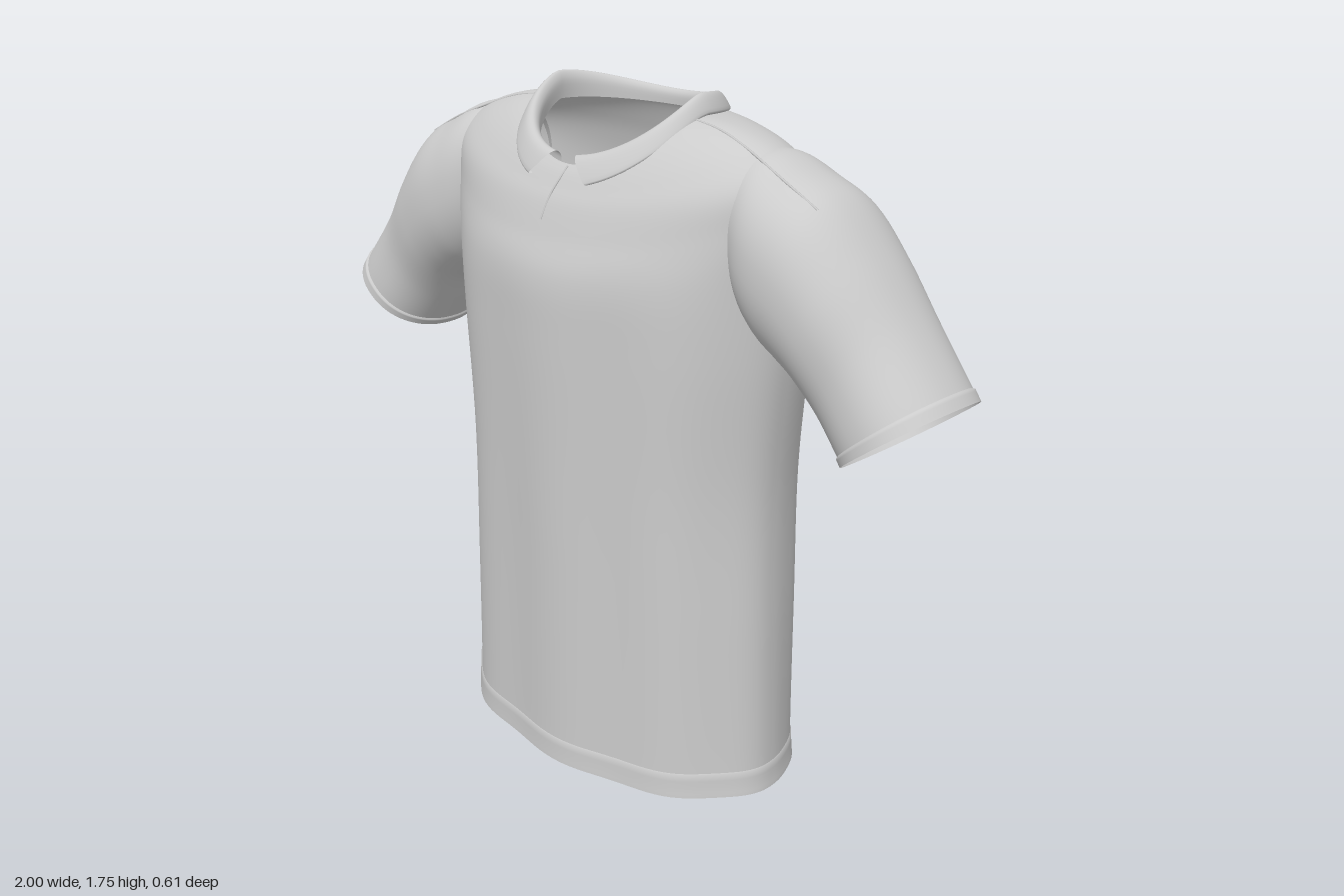
import * as THREE from 'three';

const TAU = Math.PI * 2;
const cloth = new THREE.MeshStandardMaterial({ color: 0xcccccc, roughness: 0.9, side: THREE.DoubleSide });
const lerp = THREE.MathUtils.lerp;
const pw = (v, n) => Math.sign(v) * Math.abs(v) ** (2 / n);

// Smooth interpolation between rows of cross-section parameters
function sample(rows, s) {
  const last = rows.length - 1;
  const i = Math.min(Math.floor(s), last - 1), f = s - i;
  const r = k => rows[THREE.MathUtils.clamp(k, 0, last)];
  return rows[i].map((b, c) => {
    const a = r(i - 1)[c], d = r(i + 1)[c], e = r(i + 2)[c];
    const m0 = (d - a) / 2, m1 = (e - b) / 2;
    return b + f * (m0 + f * (3 * (d - b) - 2 * m0 - m1 + f * (2 * (b - d) + m0 + m1)));
  });
}

// Surface from a function of (u, v); closed surfaces share their first and last column
function surface(name, fn, nu, nv, closed, flip) {
  const pos = [], idx = [], cols = closed ? nu : nu + 1;
  for (let j = 0; j <= nv; j++)
    for (let i = 0; i < cols; i++) pos.push(...fn(i / nu, j / nv));
  for (let j = 0; j < nv; j++)
    for (let i = 0; i < nu; i++) {
      const a = j * cols + i, b = j * cols + (i + 1) % cols, c = a + cols, d = b + cols;
      if (flip) idx.push(a, b, c, b, d, c);
      else idx.push(a, c, b, b, c, d);
    }
  const g = new THREE.BufferGeometry();
  g.setAttribute('position', new THREE.Float32BufferAttribute(pos, 3));
  g.setIndex(idx);
  g.computeVertexNormals();
  const mesh = new THREE.Mesh(g, cloth);
  mesh.name = name;
  return mesh;
}

function seam(name, points, radius = 0.003) {
  const curve = new THREE.CatmullRomCurve3(points.map(p => new THREE.Vector3(...p)));
  const mesh = new THREE.Mesh(new THREE.TubeGeometry(curve, 40, radius, 6), cloth);
  mesh.name = name;
  return mesh;
}

// Torso rings: half width, side y, front z, front y, back z, back y, squareness of the back
const TORSO = [
  [0.525, 0.01, 0.293, 0.00, -0.28, 0.02, 2.3],
  [0.518, 0.10, 0.292, 0.09, -0.28, 0.11, 2.3],
  [0.508, 0.45, 0.295, 0.45, -0.29, 0.45, 2.3],
  [0.500, 0.82, 0.300, 0.82, -0.30, 0.82, 2.3],
  [0.525, 1.16, 0.304, 1.16, -0.307, 1.16, 2.3],
  [0.535, 1.36, 0.300, 1.32, -0.303, 1.32, 2.2],
  [0.550, 1.50, 0.270, 1.42, -0.288, 1.45, 2.1],
  [0.550, 1.595, 0.246, 1.49, -0.262, 1.55, 2],
  [0.475, 1.655, 0.225, 1.53, -0.240, 1.61, 2],
  [0.360, 1.692, 0.208, 1.56, -0.218, 1.66, 2],
  [0.248, 1.705, 0.193, 1.58, -0.195, 1.69, 2],
];
function torsoPoint(t, s, out = 0) {
  const [a, ys, zf, yf, zb, yb, nb] = sample(TORSO, s);
  const c = Math.cos(t), k = Math.sin(t), n = k > 0 ? 2.05 : nb;
  // Soft vertical folds that fade out towards the chest
  const fold = 0.007 * Math.sin(t * 9 + 0.6) * THREE.MathUtils.clamp((5.5 - s) / 3, 0, 1);
  const z = (k > 0 ? zf : -zb) + fold + out;
  return [(a + out + fold * 0.5) * pw(c, n), lerp(ys, k > 0 ? yf : yb, k * k), z * pw(k, n)];
}

// Sleeve rings: top x, top y, bottom x, bottom y, front z, back z
const SLEEVE = [
  [0.42, 1.655, 0.46, 1.27, 0.130, -0.15],
  [0.50, 1.652, 0.49, 1.235, 0.160, -0.184],
  [0.58, 1.618, 0.53, 1.20, 0.174, -0.200],
  [0.675, 1.568, 0.575, 1.172, 0.178, -0.210],
  [0.77, 1.46, 0.625, 1.135, 0.170, -0.210],
  [0.87, 1.325, 0.68, 1.07, 0.152, -0.203],
  [0.965, 1.205, 0.735, 1.005, 0.155, -0.197],
  [0.997, 1.162, 0.755, 0.980, 0.157, -0.195],
];
function sleevePoint(side, t, s, out = 0) {
  const [tx, ty, bx, by, zf, zb] = sample(SLEEVE, s);
  const c = pw(Math.cos(t), 2.2) * (1 + out * 5), k = pw(Math.sin(t), 2.2);
  const z = (zf + zb) / 2 + ((zf - zb) / 2 + out) * k;
  return [side * ((tx + bx) / 2 + (tx - bx) / 2 * c), (ty + by) / 2 + (ty - by) / 2 * c, z];
}

// Folded collar: profile points of x radius, front z, back z, side y, front y, back y, front gap
const COLLAR = [
  [0.236, 0.188, -0.182, 1.685, 1.565, 1.675, 0.14],
  [0.232, 0.190, -0.182, 1.730, 1.595, 1.700, 0.14],
  [0.242, 0.204, -0.192, 1.754, 1.606, 1.713, 0.15],
  [0.256, 0.224, -0.208, 1.744, 1.592, 1.706, 0.20],
  [0.270, 0.249, -0.230, 1.712, 1.540, 1.680, 0.36],
  [0.264, 0.236, -0.222, 1.704, 1.536, 1.674, 0.37],
];
function collarPoint(u, v) {
  const [r, zf, zb, ys, yf, yb, gap] = sample(COLLAR, v * (COLLAR.length - 1));
  const t = lerp(gap, TAU - gap, u), c = Math.cos(t);
  const y = c > 0 ? lerp(ys, yf, c ** 1.15) : lerp(ys, yb, c * c);
  return [r * Math.sin(t), y, c > 0 ? zf * pw(c, 2 + v * 0.7) : zb * -c];
}

export function createModel() {
  const shirt = new THREE.Group();
  shirt.name = 'shirt';
  const top = TORSO.length - 1, front = Math.PI / 2;

  // Body with a slightly raised hem band
  shirt.add(surface('body', (u, v) => torsoPoint(u * TAU, lerp(0.85, top, v)), 128, 80, true));
  shirt.add(surface('hemBand', (u, v) =>
    torsoPoint(u * TAU, Math.min(v, 0.9), v < 0.99 ? 0.003 : -0.004), 128, 8, true));

  // Short opening below the collar
  shirt.add(seam('placketOpening', [0, 1, 2, 3].map(i =>
    torsoPoint(front + 0.05 - i * 0.017, 6.4 + i * 1.1))));

  // Collar
  shirt.add(surface('collar', collarPoint, 96, 20, false, true));

  // Sleeves, cuffs and shoulder seams
  for (const side of [1, -1]) {
    const label = side > 0 ? 'left' : 'right', last = SLEEVE.length - 1;
    shirt.add(surface(label + 'Sleeve', (u, v) =>
      sleevePoint(side, u * TAU, v * (last - 0.7)), 64, 40, true, side > 0));
    shirt.add(surface(label + 'Cuff', (u, v) =>
      sleevePoint(side, u * TAU, last - 0.85 * (1 - v), v > 0.01 ? 0.005 : -0.004), 64, 8, true, side > 0));
    const yoke = [[0.18, 9.8], [0.21, 9], [0.24, 8.2]].map(([t, s]) => {
      const [x, y, z] = torsoPoint(t, s);
      return [side * x, y, z];
    });
    const cap = [1.6, 2.2, 2.9].map(s => sleevePoint(side, 0.44, s));
    shirt.add(seam(label + 'ShoulderSeam', [...yoke, ...cap]));
  }
  return shirt;
}
